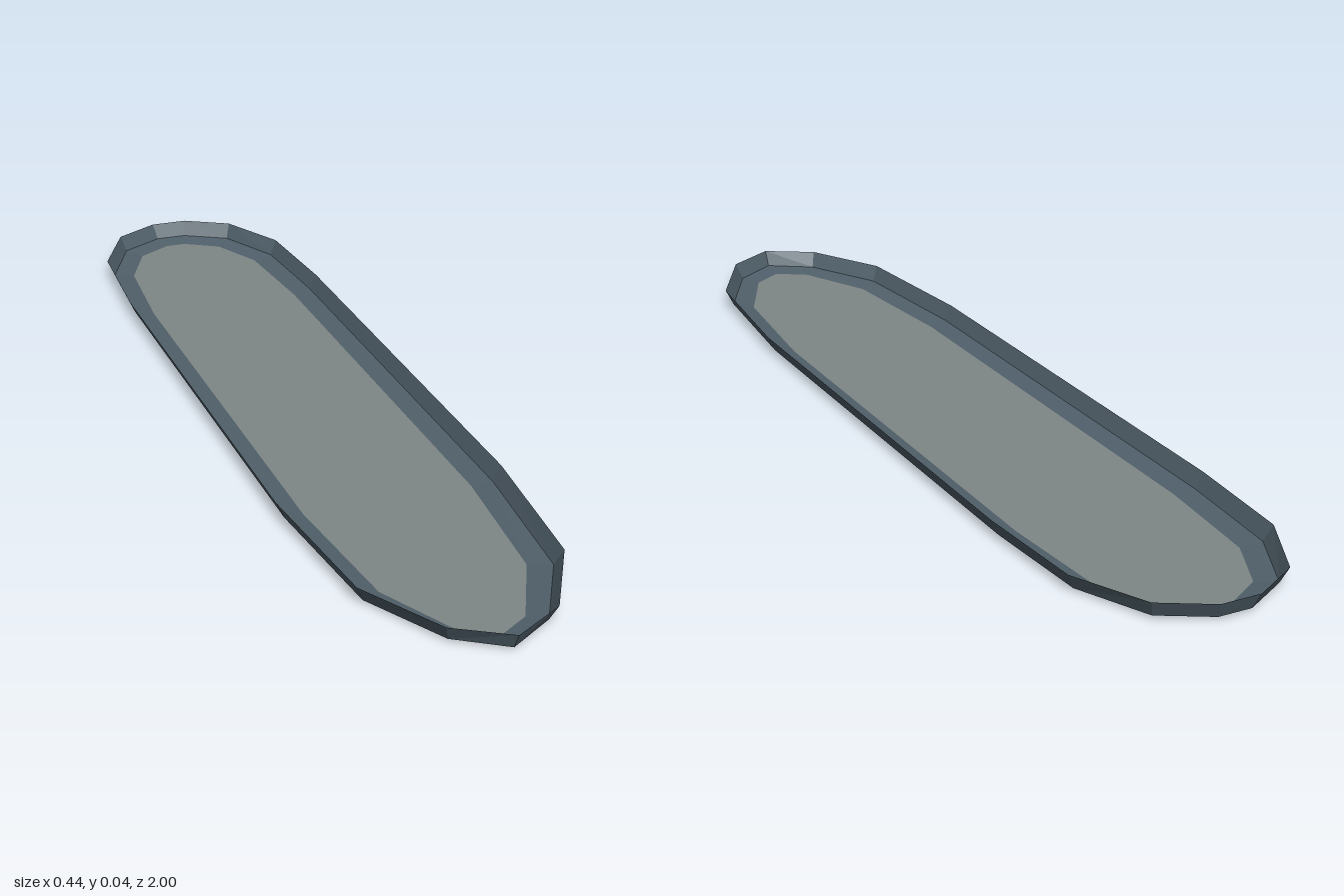
import * as THREE from 'three';

// Half outlines [x, z] from the back end to the front tip
const RIM = [[0.04, -1], [0.135, -0.945], [0.205, -0.8], [0.22, -0.56], [0.22, 0.45], [0.19, 0.775], [0.1, 0.94], [0, 1]];
const BASE = [[0.033, -0.985], [0.125, -0.932], [0.19, -0.792], [0.205, -0.56], [0.205, 0.45], [0.176, 0.765], [0.09, 0.925], [0, 0.984]];
const FLOOR = [[0.022, -0.945], [0.095, -0.9], [0.147, -0.785], [0.165, -0.55], [0.165, 0.44], [0.137, 0.74], [0.062, 0.895], [0, 0.935]];

// Mirror a half outline into a closed loop (the tip is shared)
function mirror(half) {
  return [...half, ...half.slice(0, -1).reverse().map(([x, z]) => [-x, z])];
}

// Flat-sided band joining two loops at different heights
function band(lower, lowerY, upper, upperY) {
  const a = mirror(lower), b = mirror(upper), n = a.length, pos = [], index = [];
  a.forEach(([x, z], i) => pos.push(x, lowerY, z, b[i][0], upperY, b[i][1]));
  for (let i = 0; i < n; i++) {
    const p = 2 * i, q = 2 * ((i + 1) % n);
    index.push(p, p + 1, q, q, p + 1, q + 1);
  }
  const g = new THREE.BufferGeometry();
  g.setAttribute('position', new THREE.Float32BufferAttribute(pos, 3));
  g.setIndex(index);
  const flat = g.toNonIndexed();
  flat.computeVertexNormals();
  return flat;
}

export function createModel() {
  const slate = new THREE.MeshStandardMaterial({ name: 'slate', color: 0x50606a, side: THREE.DoubleSide, flatShading: true });
  const grey = new THREE.MeshStandardMaterial({ name: 'grey', color: 0x7f8686, side: THREE.DoubleSide, flatShading: true });
  const model = new THREE.Group();
  model.name = 'tray';
  const add = (name, geometry, material) => {
    const mesh = new THREE.Mesh(geometry, material);
    mesh.name = name;
    model.add(mesh);
  };

  // Flared side wall, open at the top
  add('wall', band(BASE, 0.006, RIM, 0.038), slate);
  // Gently sloping border around the floor
  add('border', band(FLOOR, 0, BASE, 0.006), slate);
  // Flat floor panel
  const shape = new THREE.Shape(mirror(FLOOR).map(([x, z]) => new THREE.Vector2(x, -z)));
  add('floor', new THREE.ShapeGeometry(shape).rotateX(-Math.PI / 2), grey);
  return model;
}
